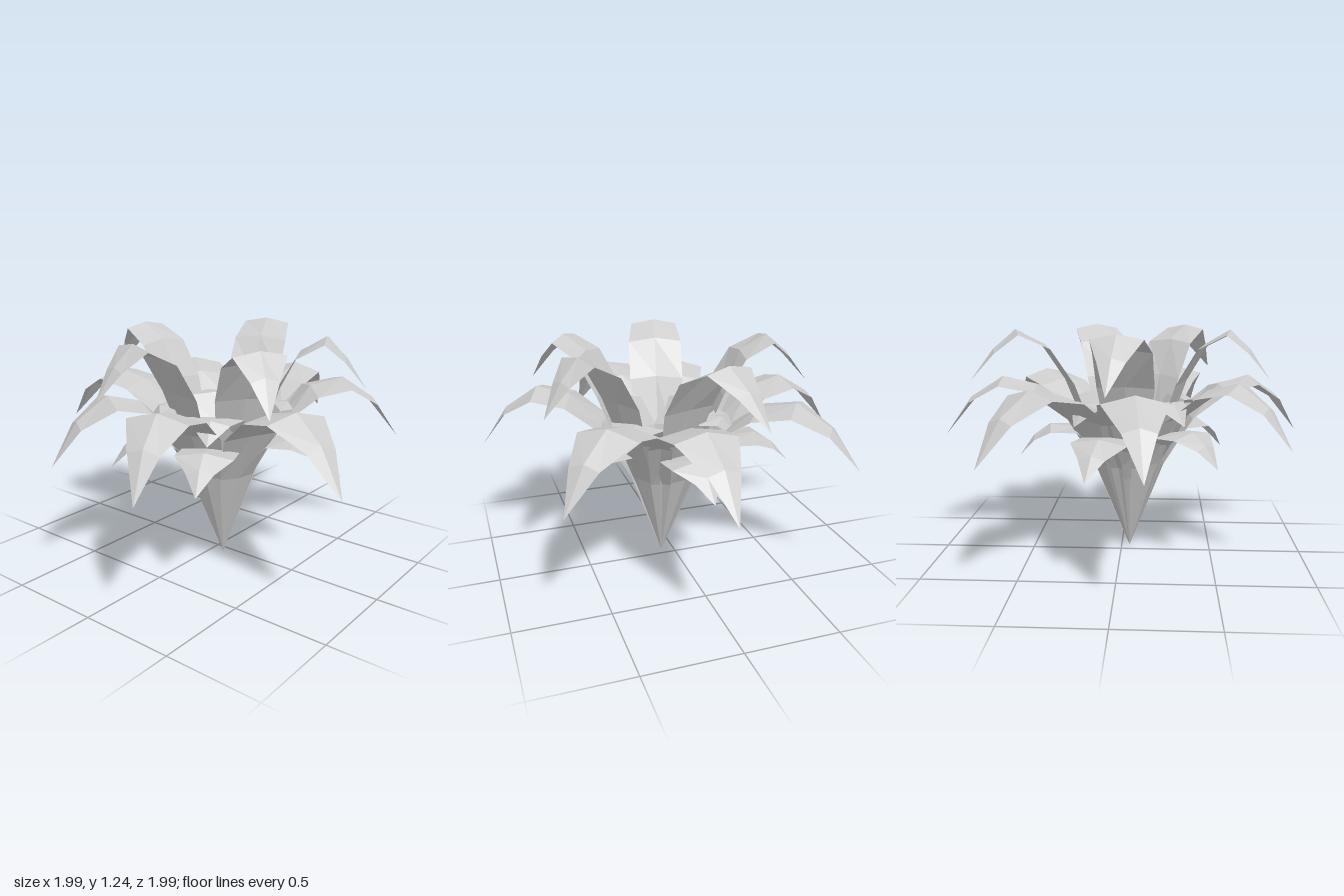
import * as THREE from 'three';

// Rows from the base to the tip: radius, height, half width, edge inset, edge drop
// Tips: x, z and how far the leaf bows sideways in the middle
const TIERS = {
  upperLeaf: {
    rows: [[0, 0, 0, 0, 0], [0.2, 0.6, 0.1, 0.02, 0], [0.33, 0.96, 0.15, 0.02, 0.01], [0.44, 1.16, 0.15, 0.01, 0.02],
      [0.585, 1.24, 0.13, 0, 0.025], [0.7, 1.14, 0.068, 0, 0.02], [0.82, 0.975, 0, 0, 0]],
    tips: [[0.78, -0.19, 0.055], [0.27, 0.74, 0], [-0.51, 0.68, -0.03], [-0.79, -0.11, 0], [0.03, -0.76, -0.02]],
  },
  middleLeaf: {
    rows: [[0, 0, 0, 0, 0], [0.19, 0.5, 0.1, 0.02, 0], [0.34, 0.77, 0.155, 0.02, 0.01], [0.52, 0.93, 0.17, 0, 0.03],
      [0.71, 0.975, 0.16, 0, 0.04], [0.89, 0.86, 0.08, 0, 0.025], [1.04, 0.645, 0, 0, 0]],
    tips: [[-0.15, -1, 0.02], [0.62, -0.78, 0], [0.99, 0.04, 0.025], [0.67, 0.74, -0.065], [-0.4, 0.99, 0.03],
      [-1, 0.33, 0.05], [-0.88, -0.34, 0]],
  },
  lowerLeaf: {
    rows: [[0, 0, 0, 0, 0], [0.12, 0.35, 0.045, 0.01, 0], [0.22, 0.6, 0.085, 0.01, 0.01], [0.32, 0.7, 0.15, 0, 0.01],
      [0.47, 0.72, 0.15, 0, 0.025], [0.565, 0.66, 0.07, 0, 0.02], [0.65, 0.545, 0, 0, 0]],
    tips: [[0.13, 0.61, 0], [0.56, -0.02, 0], [0.14, -0.62, 0], [-0.57, 0.31, 0], [-0.51, -0.32, 0]],
  },
  innerLeaf: {
    rows: [[0, 0, 0, 0, 0], [0.12, 0.45, 0.08, 0.015, 0], [0.19, 0.71, 0.14, 0.015, 0.01], [0.26, 0.86, 0.155, 0, 0.01],
      [0.34, 0.86, 0.1, 0, 0.02], [0.42, 0.75, 0, 0, 0]],
    tips: [[0.28, 0.36, 0], [-0.42, 0.26, 0], [-0.34, -0.23, 0], [0.23, -0.27, 0]],
  },
};
const BASE = [-0.045, 0.07];

// A folded leaf: three points per row, with the midrib in the middle
function leafGeometry(rows, [tipX, tipZ, bow]) {
  const dx = tipX - BASE[0], dz = tipZ - BASE[1];
  const length = Math.hypot(dx, dz);
  const ux = dx / length, uz = dz / length;
  const reach = length / rows[rows.length - 1][0];
  const points = [], index = [];
  rows.forEach(([radius, y, half, inset, drop], i) => {
    const sway = bow * Math.sin(Math.PI * radius * reach / length);
    for (const side of [-1, 0, 1]) {
      const edge = Math.abs(side);
      const r = radius * reach - inset * edge;
      const across = half * side - sway;
      points.push(BASE[0] + ux * r + uz * across, y - drop * edge, BASE[1] + uz * r - ux * across);
    }
    if (i === 0) return;
    // The first and last rows are single points, so each needs one triangle per side
    for (let k = 0; k < 2; k++) {
      const a = (i - 1) * 3 + k, b = a + 1, c = a + 3, d = a + 4;
      if (i > 1) index.push(a, b, d);
      if (i < rows.length - 1) index.push(a, d, c);
    }
  });
  const geometry = new THREE.BufferGeometry();
  geometry.setAttribute('position', new THREE.Float32BufferAttribute(points, 3));
  geometry.setIndex(index);
  const flat = geometry.toNonIndexed();
  flat.computeVertexNormals();
  return flat;
}

export function createModel() {
  const model = new THREE.Group();
  model.name = 'leafyPlant';
  const leafGrey = new THREE.MeshStandardMaterial({ color: 0xcccccc, flatShading: true, side: THREE.DoubleSide });
  leafGrey.name = 'leafGrey';

  // Four tiers of arching leaves from one root point
  for (const [name, { rows, tips }] of Object.entries(TIERS)) {
    const tier = new THREE.Group();
    tier.name = `${name}Tier`;
    tips.forEach((tip, i) => {
      const leaf = new THREE.Mesh(leafGeometry(rows, tip), leafGrey);
      leaf.name = `${name}${i + 1}`;
      tier.add(leaf);
    });
    model.add(tier);
  }
  return model;
}
